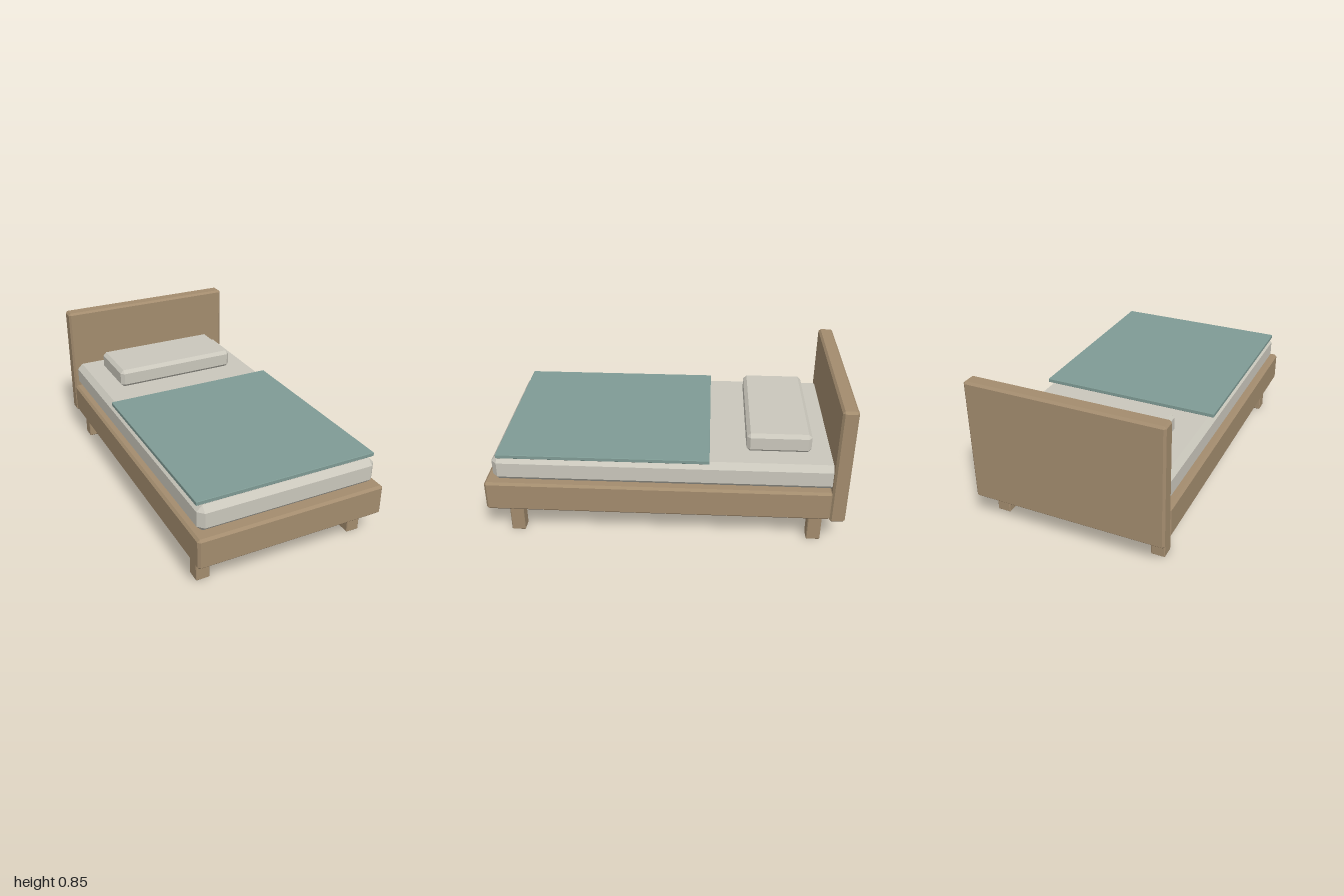
import * as THREE from 'three';
import { ConvexGeometry } from 'three/addons/geometries/ConvexGeometry.js';

const material = (name, color) => {
  const m = new THREE.MeshStandardMaterial({ color });
  m.name = name;
  return m;
};

// Box between two corners with every edge cut at 45 degrees
function chamferedBox(name, mat, [x0, y0, z0], [x1, y1, z1], c) {
  const half = [(x1 - x0) / 2, (y1 - y0) / 2, (z1 - z0) / 2];
  const points = [];
  for (const sx of [-1, 1]) for (const sy of [-1, 1]) for (const sz of [-1, 1]) {
    for (let axis = 0; axis < 3; axis++) {
      const [x, y, z] = half.map((h, i) => (i === axis ? h : h - c));
      points.push(new THREE.Vector3(sx * x, sy * y, sz * z));
    }
  }
  const mesh = new THREE.Mesh(new ConvexGeometry(points), mat);
  mesh.name = name;
  mesh.position.set((x0 + x1) / 2, (y0 + y1) / 2, (z0 + z1) / 2);
  return mesh;
}

export function createModel() {
  const wood = material('wood', 0xa38c6e);
  const linen = material('linen', 0xcac7bc);
  const teal = material('teal blanket', 0x7f9b95);

  const bed = new THREE.Group();
  bed.name = 'bed';

  // Wooden frame and headboard
  bed.add(
    chamferedBox('frame', wood, [-0.547, 0.168, -0.92], [0.547, 0.345, 1], 0.013),
    chamferedBox('headboard', wood, [-0.548, 0.155, -1], [0.548, 0.85, -0.914], 0.012)
  );

  // Four square legs
  for (const [sideName, x] of [['Left', 0.465], ['Right', -0.465]]) {
    for (const [endName, z] of [['front', 0.842], ['back', -0.842]]) {
      bed.add(chamferedBox(`${endName}${sideName}Leg`, wood,
        [x - 0.039, 0, z - 0.039], [x + 0.039, 0.175, z + 0.039], 0.005));
    }
  }

  // Bedding
  bed.add(
    chamferedBox('mattress', linen, [-0.52, 0.343, -0.955], [0.52, 0.492, 0.955], 0.032),
    chamferedBox('pillow', linen, [-0.378, 0.49, -0.805], [0.378, 0.601, -0.447], 0.02),
    chamferedBox('blanket', teal, [-0.521, 0.494, -0.245], [0.521, 0.516, 0.922], 0.002)
  );
  return bed;
}
